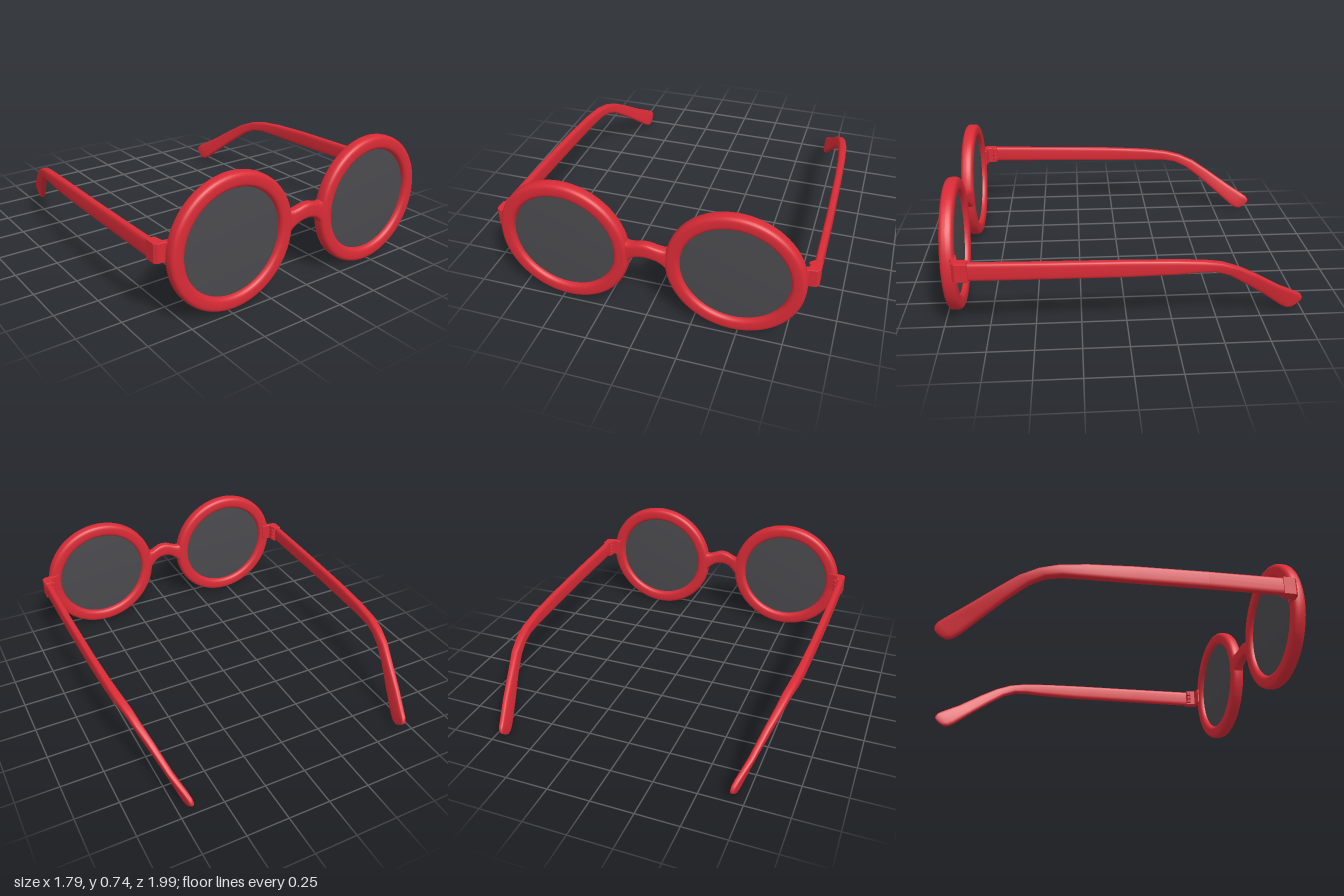
import * as THREE from 'three';

const power = (v, e) => Math.sign(v) * Math.abs(v) ** e;

// Loft of rounded-rectangle sections; each station has its top and bottom point and half thickness along side
function loft(stations, side, n = 20) {
  const pos = [], idx = [];
  const rings = stations.map(({ top, bottom, half }) => {
    const mid = top.clone().add(bottom).multiplyScalar(0.5);
    const up = top.clone().sub(mid);
    return Array.from({ length: n }, (_, j) => {
      const a = (j / n) * Math.PI * 2;
      return mid.clone().addScaledVector(up, power(Math.cos(a), 0.55))
        .addScaledVector(side, half * power(Math.sin(a), 0.55));
    });
  });
  rings.forEach((ring) => ring.forEach((p) => pos.push(p.x, p.y, p.z)));
  for (let i = 0; i < rings.length - 1; i++) {
    for (let j = 0; j < n; j++) {
      const a = i * n + j, b = i * n + (j + 1) % n;
      idx.push(a, a + n, b, b, a + n, b + n);
    }
  }
  // End caps with their own vertices, so the edges stay crisp
  [rings[0], rings[rings.length - 1]].forEach((ring, end) => {
    const base = pos.length / 3;
    const c = ring.reduce((s, p) => s.add(p), new THREE.Vector3()).divideScalar(n);
    [...ring, c].forEach((p) => pos.push(p.x, p.y, p.z));
    for (let j = 0; j < n; j++) {
      const a = base + j, b = base + (j + 1) % n;
      if (end === 0) idx.push(base + n, a, b);
      else idx.push(base + n, b, a);
    }
  });
  const g = new THREE.BufferGeometry();
  g.setAttribute('position', new THREE.Float32BufferAttribute(pos, 3));
  g.setIndex(idx);
  g.computeVertexNormals();
  return g;
}

export function createModel() {
  const model = new THREE.Group();
  const red = new THREE.MeshStandardMaterial({ color: 0xd92b36 });
  red.name = 'red frame';
  const dark = new THREE.MeshStandardMaterial({ color: 0x4a4a4e });
  dark.name = 'dark lens';
  const add = (name, geometry, material, parent = model) => {
    const m = new THREE.Mesh(geometry, material);
    m.name = name;
    parent.add(m);
    return m;
  };
  const V = (x, y, z) => new THREE.Vector3(x, y, z);

  // Rim: rounded section turned around the lens axis
  const section = [];
  for (let i = 0; i <= 24; i++) {
    const a = (i / 24) * Math.PI * 2;
    section.push(new THREE.Vector2(0.332 + 0.04 * power(Math.cos(a), 0.65), 0.038 * power(Math.sin(a), 0.65)));
  }
  const rimGeo = new THREE.LatheGeometry(section, 72).rotateX(Math.PI / 2);
  const lensGeo = new THREE.LatheGeometry(
    [[0, -0.008], [0.31, -0.008], [0.31, 0.008], [0, 0.008]].map(([r, y]) => new THREE.Vector2(r, y)), 64,
  ).rotateX(Math.PI / 2);

  // Temple stations: top z, top y, bottom z, bottom y, centre x, half thickness
  const temple = [
    [0.825, 0.462, 0.825, 0.36, 0.874, 0.021],
    [0.4, 0.452, 0.4, 0.354, 0.871, 0.021],
    [0, 0.442, 0, 0.347, 0.863, 0.021],
    [-0.25, 0.43, -0.25, 0.347, 0.853, 0.023],
    [-0.4, 0.415, -0.38, 0.35, 0.841, 0.025],
    [-0.5, 0.393, -0.46, 0.342, 0.826, 0.025],
    [-0.6, 0.35, -0.54, 0.308, 0.808, 0.023],
    [-0.7, 0.287, -0.64, 0.235, 0.778, 0.021],
    [-0.85, 0.185, -0.75, 0.145, 0.737, 0.019],
    [-0.955, 0.122, -0.87, 0.042, 0.699, 0.018],
    [-0.985, 0.102, -0.905, 0.02, 0.69, 0.017],
    [-0.998, 0.08, -0.935, 0.015, 0.685, 0.014],
    [-0.997, 0.062, -0.962, 0.028, 0.683, 0.008],
  ];
  // End piece outline seen from above (x, z)
  const corner = [[0.79, 0.93], [0.79, 0.897], [0.84, 0.885], [0.85, 0.83], [0.893, 0.83],
    [0.893, 0.892], [0.88, 0.906], [0.84, 0.91], [0.82, 0.93]];

  for (const [s, label] of [[1, 'left'], [-1, 'right']]) {
    const eye = new THREE.Group();
    eye.name = label + 'Eye';
    eye.position.set(s * 0.473, 0.375, 0.943);
    eye.rotation.y = s * 0.013;
    model.add(eye);
    add(label + 'Rim', rimGeo, red, eye);
    add(label + 'Lens', lensGeo, dark, eye);

    // Bent end piece with hinge knuckles
    const shape = new THREE.Shape(corner.map(([x, z]) => new THREE.Vector2(s * x, -z)));
    const piece = new THREE.ExtrudeGeometry(shape, {
      depth: 0.1, bevelEnabled: true, bevelSize: 0.003, bevelThickness: 0.003, bevelSegments: 2,
    }).rotateX(-Math.PI / 2).translate(0, 0.361, 0);
    add(label + 'EndPiece', piece, red);
    for (const y of [0.383, 0.411, 0.439]) {
      add(label + 'HingeKnuckle', new THREE.CylinderGeometry(0.016, 0.016, 0.022, 16), red)
        .position.set(s * 0.846, y, 0.838);
    }

    const stations = temple.map(([tz, ty, bz, by, x, half]) => (
      { top: V(s * x, ty, tz), bottom: V(s * x, by, bz), half }));
    add(label + 'Temple', loft(stations, V(-1, 0, 0)), red);
  }

  // Arched bridge, flaring into the rims: x, top y, bottom y, centre z, half depth
  const halfBridge = [[0, 0.478, 0.39, 0.961, 0.03], [0.03, 0.474, 0.387, 0.96, 0.03],
    [0.06, 0.463, 0.376, 0.956, 0.03], [0.09, 0.453, 0.352, 0.949, 0.031], [0.115, 0.456, 0.32, 0.945, 0.033],
    [0.15, 0.47, 0.29, 0.943, 0.03]];
  const bridge = [...halfBridge.slice(1).reverse().map(([x, ...r]) => [-x, ...r]), ...halfBridge];
  add('bridge', loft(bridge.map(([x, t, b, z, half]) => (
    { top: V(x, t, z), bottom: V(x, b, z), half })), V(0, 0, -1)), red);

  return model;
}
